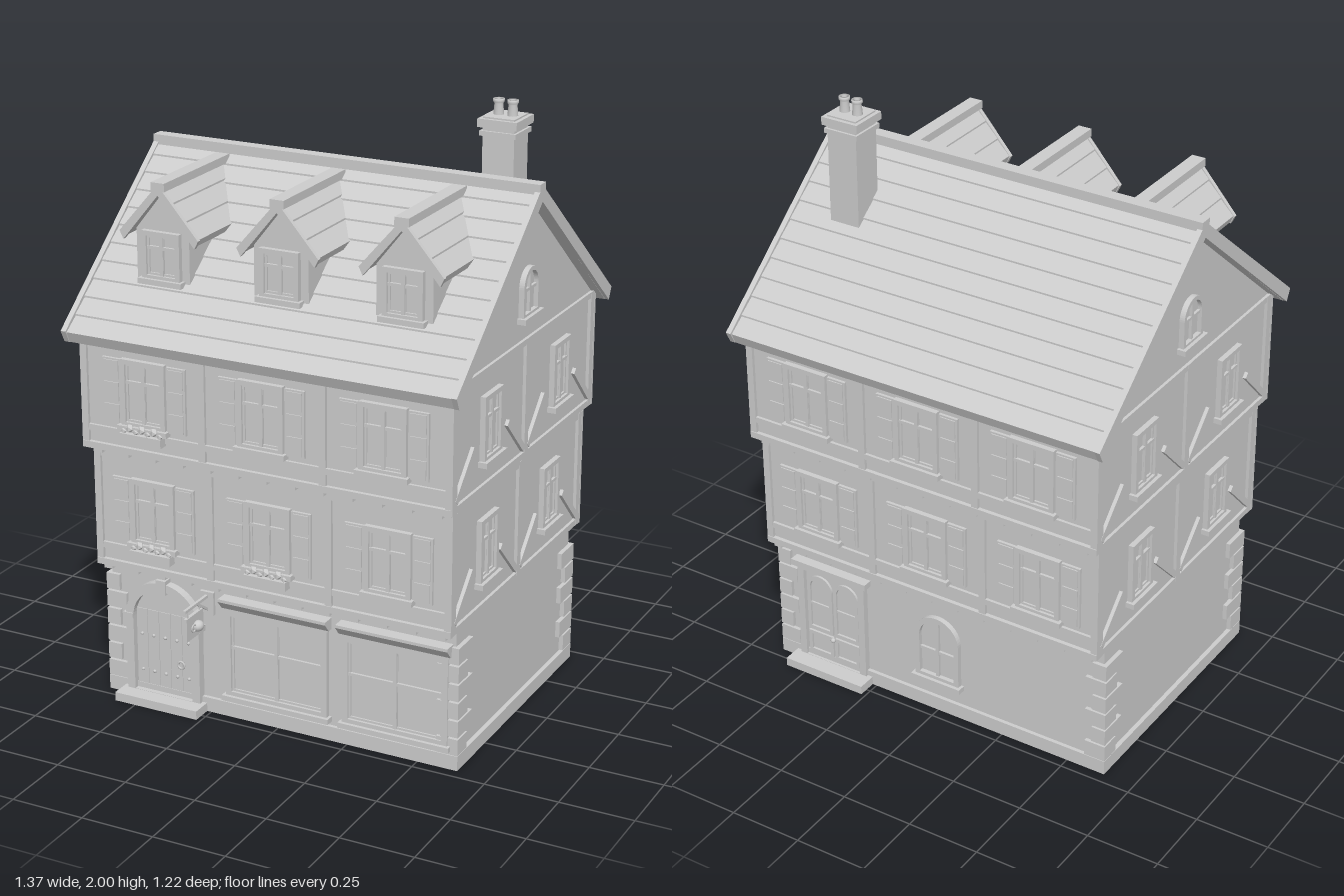
import * as THREE from 'three';

const plaster = new THREE.MeshStandardMaterial({ color: 0xcccccc });
plaster.name = 'pale grey';

function add(parent, name, geo, x = 0, y = 0, z = 0) {
  const m = new THREE.Mesh(geo, plaster);
  m.name = name;
  m.position.set(x, y, z);
  parent.add(m);
  return m;
}
// Box given by its ranges
function box(parent, name, x0, x1, y0, y1, z0, z1) {
  return add(parent, name, new THREE.BoxGeometry(x1 - x0, y1 - y0, z1 - z0),
    (x0 + x1) / 2, (y0 + y1) / 2, (z0 + z1) / 2);
}
function group(parent, name, x = 0, y = 0, z = 0) {
  const g = new THREE.Group();
  g.name = name;
  g.position.set(x, y, z);
  parent.add(g);
  return g;
}
const extrude = (shape, depth) =>
  new THREE.ExtrudeGeometry(shape, { depth, bevelEnabled: false, curveSegments: 14 });
const polygon = pts => new THREE.Shape(pts.map(p => new THREE.Vector2(...p)));

// Rectangle or round-headed opening outline; y1 is the top
function opening(hw, y0, y1, arched) {
  if (!arched) return polygon([[-hw, y0], [hw, y0], [hw, y1], [-hw, y1]]);
  const s = new THREE.Shape();
  s.moveTo(-hw, y0);
  s.lineTo(hw, y0);
  s.lineTo(hw, y1 - hw);
  s.absarc(0, y1 - hw, hw, 0, Math.PI, false);
  s.closePath();
  return s;
}
function surround(parent, name, hw, y0, y1, t, depth, arched, foot = t) {
  const s = opening(hw, y0, y1, arched);
  s.holes.push(opening(hw - t, y0 + foot, y1 - t, arched));
  return add(parent, name, extrude(s, depth));
}
// Window in a wall plane at z = 0 of its parent
function windowUnit(parent, x, y0, y1, hw, { arched = false, t = 0.016, bar = 0.66, z = 0 } = {}) {
  const g = group(parent, 'window', x, 0, z);
  surround(g, 'windowFrame', hw, y0, y1, t, 0.018, arched);
  add(g, 'windowPane', extrude(opening(hw - t, y0 + t, y1 - t, arched), 0.003));
  box(g, 'mullion', -0.006, 0.006, y0 + t, y1 - t, 0, 0.013);
  const yb = y0 + (y1 - y0) * bar;
  box(g, 'transom', t - hw, hw - t, yb - 0.005, yb + 0.005, 0, 0.012);
  for (const s of [-1, 1]) if (!arched)
    surround(g, 'sash', (hw - t) / 2, y0 + t, y1 - t, 0.007, 0.009, false).position.x = s * (hw - t) / 2;
  box(g, 'windowSill', -hw - 0.01, hw + 0.01, y0 - 0.012, y0 + 0.006, 0, 0.03);
  return g;
}
function shutters(parent, x, y0, y1) {
  for (const s of [-1, 1]) {
    const g = group(parent, 'shutter', x + s * 0.117, 0, 0);
    box(g, 'shutterBoard', -0.034, 0.034, y0, y1, 0, 0.01);
    for (let i = 0; i < 3; i++) {
      const h = (y1 - y0) / 3;
      box(g, 'shutterPanel', -0.027, 0.027, y0 + i * h + 0.006, y0 + (i + 1) * h - 0.006, 0.01, 0.014);
    }
  }
}
function flowerBox(parent, x, y) {
  const g = group(parent, 'flowerBox', x, y, 0);
  box(g, 'planter', -0.075, 0.075, 0, 0.03, 0.005, 0.04);
  for (let i = 0; i < 7; i++)
    add(g, 'flower', new THREE.IcosahedronGeometry(i % 2 ? 0.015 : 0.012, 0),
      -0.066 + i * 0.022, i % 2 ? 0.045 : 0.036, 0.025);
}
// Closed gable roof cross-section with stepped tile rows
function roofProfile(apex, ex, ey, thick, rows, lip) {
  const side = [];
  for (let i = 0; i < rows; i++) {
    const a = i / rows, b = (i + 1) / rows;
    side.push([ex * a, apex + (ey - apex) * a], [ex * b, apex + (ey - apex) * b + lip]);
  }
  side.push([ex - thick * 0.5, ey - thick]);
  const left = side.slice(1).reverse().map(([x, y]) => [-x, y]);
  return polygon([...side, [0, apex - thick * 1.3], ...left]);
}
// Four wall planes: local x along the wall, local z outwards
function facade(house, name, turn, dist) {
  const g = group(house, name, Math.sin(turn) * dist, 0, Math.cos(turn) * dist);
  g.rotation.y = turn;
  return g;
}

function groundFloor(house) {
  box(house, 'groundWalls', -0.625, 0.625, 0, 0.49, -0.45, 0.45);
  box(house, 'plinth', -0.64, 0.64, 0, 0.05, -0.463, 0.463);
  // Corner stones, long and short in turn
  for (const sx of [-1, 1]) for (const sz of [-1, 1]) for (let i = 0; i < 6; i++) {
    const w = i % 2 ? 0.05 : 0.075, d = i % 2 ? 0.105 : 0.07, y = 0.052 + i * 0.063;
    const q = box(house, 'cornerStone', 0, w, y, y + 0.056, 0, d);
    q.position.x = sx * (0.64 - w / 2);
    q.position.z = sz * (0.463 - d / 2);
  }
  const front = facade(house, 'shopFront', 0, 0.45);
  // Arched front door
  const door = group(front, 'frontDoor', -0.42);
  box(door, 'frontStep', -0.155, 0.155, 0, 0.03, 0, 0.085);
  surround(door, 'doorArch', 0.138, 0.03, 0.432, 0.028, 0.03, true, 0.001);
  add(door, 'doorLeaf', extrude(opening(0.112, 0.03, 0.405, true), 0.008));
  box(door, 'keystone', -0.018, 0.018, 0.395, 0.445, 0, 0.036);
  for (const s of [-1, 1])
    box(door, 'impost', s * 0.128 - 0.018, s * 0.128 + 0.018, 0.285, 0.305, 0, 0.034);
  for (let i = 0; i < 5; i++) box(door, 'doorBoard', -0.108 + i * 0.0435, -0.068 + i * 0.0435, 0.032, 0.32, 0.005, 0.011);
  for (const y of [0.1, 0.23]) for (let i = 0; i < 5; i++)
    add(door, 'doorStud', new THREE.SphereGeometry(0.006, 8, 6), -0.088 + i * 0.044, y, 0.012);
  add(door, 'doorRing', new THREE.TorusGeometry(0.012, 0.004, 6, 14), 0.062, 0.148, 0.018);
  // Shop windows with projecting cornices
  for (const [x, hw] of [[-0.005, 0.185], [0.42, 0.185]]) {
    const w = windowUnit(front, x, 0.075, 0.385, hw, { t: 0.02, bar: 0.57 });
    box(w, 'shopHeader', -hw - 0.005, hw + 0.005, 0.385, 0.43, 0, 0.02);
    add(w, 'shopCornice', extrude(polygon([[0, 0.39], [0.02, 0.39], [0.045, 0.42], [0.045, 0.43], [0, 0.43]]), 2 * hw + 0.02), hw + 0.01)
      .rotation.y = -Math.PI / 2;
  }
  // Hanging sign on a bracket
  const sign = group(front, 'hangingSign', -0.26);
  box(sign, 'signPlate', -0.025, 0.025, 0.35, 0.43, 0, 0.012);
  box(sign, 'signArm', -0.005, 0.005, 0.41, 0.42, 0, 0.155);
  const brace = box(sign, 'signBrace', -0.004, 0.004, 0.385, 0.393, 0, 0.08);
  brace.rotation.x = -0.6;
  box(sign, 'signBoard', -0.006, 0.006, 0.308, 0.388, 0.045, 0.15);
  for (const z of [0.06, 0.135]) box(sign, 'signHanger', -0.002, 0.002, 0.385, 0.412, z - 0.002, z + 0.002);
  for (const s of [-1, 1]) {
    const pot = add(sign, 'signPot', new THREE.SphereGeometry(0.022, 12, 8), s * 0.012, 0.345, 0.09);
    pot.scale.set(0.9, 0.85, 1);
    add(sign, 'signHandle', new THREE.TorusGeometry(0.012, 0.003, 6, 12), s * 0.012, 0.347, 0.117).rotation.y = Math.PI / 2;
  }
  // Back door and back window
  const back = facade(house, 'backGroundWall', Math.PI, 0.45);
  const bd = group(back, 'backDoor', -0.42);
  box(bd, 'backStep', -0.155, 0.155, 0, 0.03, 0, 0.08);
  surround(bd, 'backDoorFrame', 0.135, 0.03, 0.4, 0.025, 0.022, false, 0.001);
  box(bd, 'backDoorLintel', -0.15, 0.15, 0.39, 0.412, 0, 0.035);
  box(bd, 'backDoorPanel', -0.11, 0.11, 0.03, 0.375, 0, 0.006);
  for (const s of [-1, 1]) {
    surround(bd, 'doorLight', 0.05, 0.14, 0.36, 0.012, 0.014, true).position.x = s * 0.053;
    surround(bd, 'lowerPanel', 0.05, 0.045, 0.13, 0.012, 0.014, false).position.x = s * 0.053;
    box(bd, 'doorLightBar', s * 0.053 - 0.04, s * 0.053 + 0.04, 0.24, 0.248, 0, 0.012);
  }
  add(bd, 'backDoorKnob', new THREE.SphereGeometry(0.009, 10, 8), 0.005, 0.13, 0.025);
  windowUnit(back, 0, 0.12, 0.37, 0.085, { arched: true, t: 0.018, bar: 0.45 });
}

// Timbered storey jutting over the one below
function storey(house, y0, y1, hx, hz, winY, top, sideX, boxes) {
  box(house, 'storeyWalls', -hx, hx, y0, y1, -hz, hz);
  for (const turn of [0, Math.PI]) {
    const f = facade(house, turn ? 'backTimberWall' : 'frontTimberWall', turn, hz);
    for (const [a, b, d] of [[y0, y0 + 0.022, 0.014], [y0 + 0.06, y0 + 0.08, 0.01], [top - 0.024, top, 0.01]])
      box(f, 'rail', -hx - 0.01, hx + 0.01, a, b, 0, d);
    for (const x of [-hx, -0.212, 0.212, hx])
      box(f, 'post', x - 0.012, x + 0.012, y0, top, 0, 0.011);
    for (const x of [-0.42, 0, 0.42]) {
      windowUnit(f, x, winY, winY + 0.225, 0.08);
      shutters(f, x, winY, winY + 0.22);
    }
    for (let i = 0; i < 13; i++) // joist ends under the overhang
      box(f, 'joistEnd', -0.615 + i * 0.1, -0.585 + i * 0.1, y0 - 0.015, y0, -0.05, 0.005);
    if (!turn) for (const x of boxes) flowerBox(f, x, winY - 0.045);
  }
  for (const turn of [Math.PI / 2, -Math.PI / 2]) {
    const f = facade(house, 'gableSideWall', turn, hx);
    for (const [a, b] of [[y0, y0 + 0.022], [top - 0.02, top]])
      box(f, 'rail', -hz, hz, a, b, 0, 0.01);
    for (const x of [-hz + 0.012, 0, hz - 0.012])
      box(f, 'post', x - 0.014, x + 0.014, y0, top, 0, 0.011);
    for (const s of [-1, 1]) {
      windowUnit(f, s * sideX, winY, winY + 0.215, 0.067);
      // Diagonal braces rising away from the posts
      for (const [x, dir] of [[s * 0.08, -s], [s * (hz - 0.085), s]]) {
        const b = add(f, 'brace', new THREE.BoxGeometry(0.185, 0.022, 0.012), x, y0 + 0.1, 0.006);
        b.rotation.z = -dir * Math.PI / 4;
      }
    }
  }
}

function roof(house) {
  const acrossX = (name, shape, x0, x1) => {
    add(house, name, extrude(shape, x1 - x0), x0).rotation.y = Math.PI / 2;
  };
  acrossX('gableWall', polygon([[-0.545, 1.25], [0.545, 1.25], [0.545, 1.3], [0, 1.752], [-0.545, 1.3]]), -0.64, 0.64);
  acrossX('tiledRoof', roofProfile(1.785, 0.603, 1.29, 0.03, 11, 0.006), -0.672, 0.672);
  for (const x of [-0.685, 0.667])
    acrossX('bargeBoard', roofProfile(1.796, 0.61, 1.3, 0.04, 1, 0), x, x + 0.018);
  box(house, 'ridgeCap', -0.685, 0.685, 1.765, 1.802, -0.022, 0.022);
  // Arched gable windows
  for (const turn of [Math.PI / 2, -Math.PI / 2])
    windowUnit(facade(house, 'gableWindow', turn, 0.64), 0, 1.375, 1.535, 0.062, { arched: true, t: 0.014, bar: 0.55 });
  // Dormers
  for (const x of [-0.42, 0, 0.42]) {
    const d = group(house, 'dormer', x);
    add(d, 'dormerBody', extrude(polygon([[-0.095, 1.41], [0.095, 1.41], [0.095, 1.61], [0, 1.73], [-0.095, 1.61]]), 0.37), 0, 0, 0.045);
    add(d, 'dormerRoof', extrude(roofProfile(1.757, 0.138, 1.598, 0.016, 3, 0.006), 0.395), 0, 0, 0.035);
    add(d, 'dormerBargeBoard', extrude(roofProfile(1.766, 0.142, 1.602, 0.027, 1, 0), 0.014), 0, 0, 0.427);
    box(d, 'dormerRidge', -0.024, 0.024, 1.745, 1.772, 0.03, 0.441);
    windowUnit(d, 0, 1.45, 1.61, 0.068, { z: 0.415 });
  }
  // Chimney
  const c = group(house, 'chimney', 0.472, 0, -0.192);
  for (const [name, r, a, b] of [['chimneyStack', 0.054, 1.5, 1.95], ['chimneyBand', 0.062, 1.89, 1.906], ['chimneyCap', 0.067, 1.918, 1.945]])
    box(c, name, -r, r, a, b, -r, r);
  const pot = [[0.018, 1.94], [0.014, 1.985], [0.018, 1.99], [0.018, 2], [0.01, 2], [0.01, 1.95]]
    .map(p => new THREE.Vector2(...p));
  for (const x of [-0.024, 0.024]) add(c, 'chimneyPot', new THREE.LatheGeometry(pot, 16), x);
}

export function createModel() {
  const house = new THREE.Group();
  house.name = 'timberedTownHouse';
  groundFloor(house);
  storey(house, 0.48, 0.905, 0.625, 0.507, 0.578, 0.885, 0.247, [-0.42, 0]);
  storey(house, 0.9, 1.3, 0.64, 0.545, 0.997, 1.3, 0.27, [-0.42]);
  roof(house);
  return house;
}
